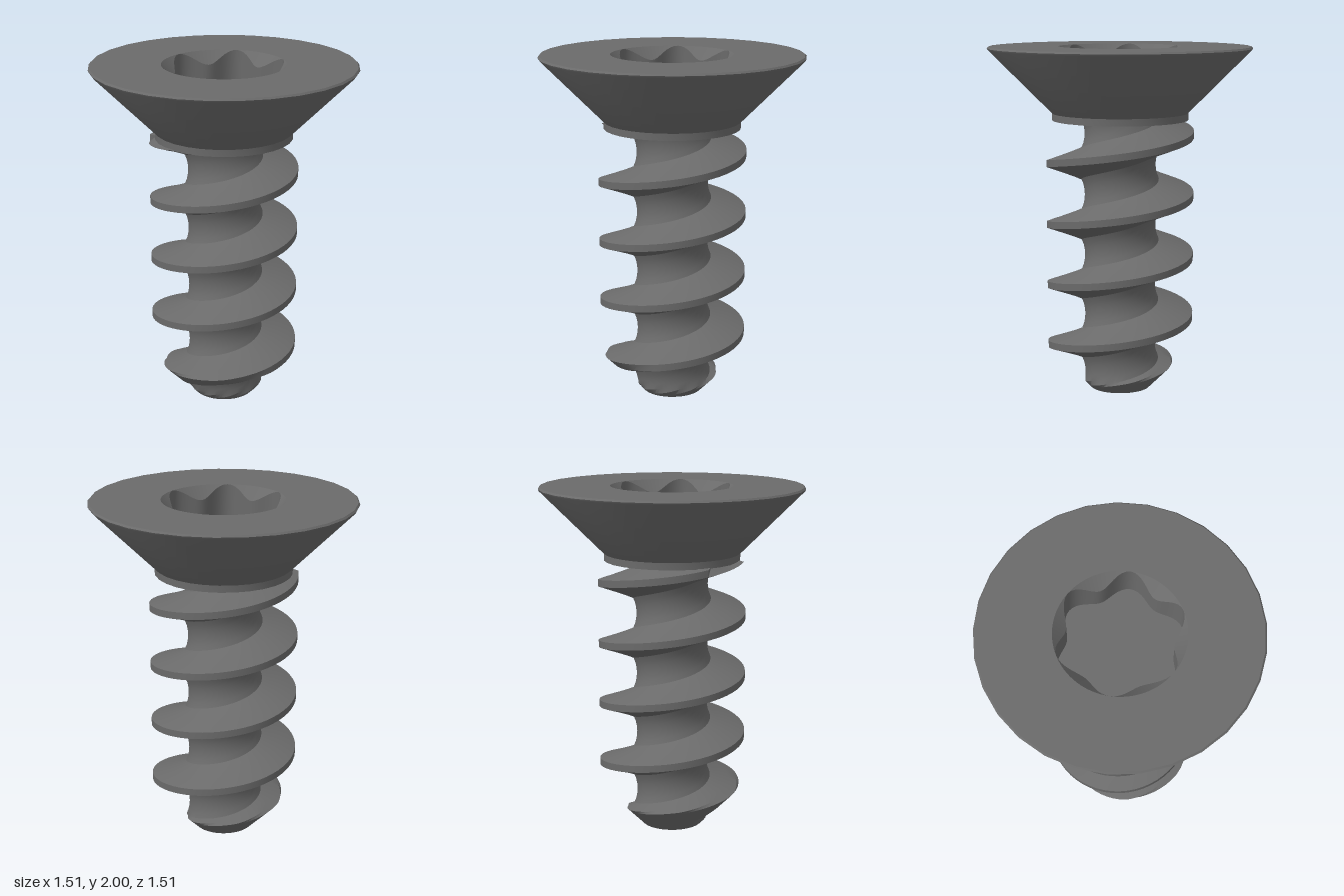
import * as THREE from 'three';
import { mergeVertices, toCreasedNormals } from 'three/addons/utils/BufferGeometryUtils.js';

const TAU = Math.PI * 2;
const CREASE = 0.5;

// Surface from cross-sections: point(u, v) for u, v in 0..1, front side on the left of u
function surface(point, nu, nv) {
  const pos = [];
  const p = (i, j) => point(i / nu, j / nv);
  const tri = (a, b, c) => {
    const area = b.clone().sub(a).cross(c.clone().sub(a)).length();
    if (area > 1e-8) for (const q of [a, b, c]) pos.push(q.x, q.y, q.z);
  };
  for (let i = 0; i < nu; i++) {
    for (let j = 0; j < nv; j++) {
      const a = p(i, j), b = p(i + 1, j), c = p(i + 1, j + 1), d = p(i, j + 1);
      tri(a, b, c);
      tri(a, c, d);
    }
  }
  const g = new THREE.BufferGeometry();
  g.setAttribute('position', new THREE.Float32BufferAttribute(pos, 3));
  return toCreasedNormals(g, CREASE);
}

const polar = (r, y, a) => new THREE.Vector3(r * Math.cos(a), y, -r * Math.sin(a));

// Strip between two closed rings, each given as angle -> [radius, height]
function ring(from, to, n = 96) {
  return surface((u, v) => {
    const a = u * TAU, [r0, y0] = from(a), [r1, y1] = to(a);
    return polar(r0 + (r1 - r0) * v, y0 + (y1 - y0) * v, a);
  }, n, 1);
}

// One pitch of the thread: [offset from crest, radius]
const PITCH = 0.355;
const HALF = [[0.02, 0.425], [0.034, 0.385], [0.048, 0.343], [0.062, 0.302], [0.076, 0.261],
  [0.09, 0.224], [0.118, 0.213], [0.148, 0.207], [PITCH / 2, 0.205]];
const PROFILE = [...HALF.map(([h, r]) => [-h, r]).reverse(), ...HALF];

export function createModel() {
  const model = new THREE.Group();
  model.name = 'countersunkScrew';
  const steel = new THREE.MeshStandardMaterial({ color: 0x6a6a6a });
  steel.name = 'dark steel';
  const add = (name, geometry) => {
    const m = new THREE.Mesh(geometry, steel);
    m.name = name;
    model.add(m);
  };

  // Conical head with collar
  const SIDES = 29;
  const outline = [[0.2, 1.58], [0.392, 1.58], [0.392, 1.62], [0.752, 1.98], [0.757, 1.99], [0.748, 2]]
    .map(([x, y]) => new THREE.Vector2(x, y));
  const head = new THREE.LatheGeometry(outline, SIDES, Math.PI);
  head.deleteAttribute('normal');
  head.deleteAttribute('uv');
  add('head', toCreasedNormals(mergeVertices(head), CREASE));

  // Flat top face around the socket
  const circle = (r, n) => Array.from({ length: n }, (_, i) => {
    const a = Math.PI / 2 + (i / n) * TAU;
    return new THREE.Vector2(r * Math.cos(a), r * Math.sin(a));
  });
  const face = new THREE.Shape(circle(0.748, SIDES));
  face.holes.push(new THREE.Path(circle(0.35, 96)));
  add('headTop', new THREE.ShapeGeometry(face).rotateX(-Math.PI / 2).translate(0, 2, 0));

  // Six-lobed socket: chamfer, wall and floor
  const FLOOR = 1.78;
  const lobe = (a) => 0.285 + 0.0325 * (1 - Math.cos(6 * a));
  const lip = (a) => [lobe(a), 2 - (0.35 - lobe(a)) * 1.1];
  const base = (a) => [lobe(a), FLOOR];
  add('socketChamfer', ring(() => [0.35, 2], lip));
  add('socketWall', ring(lip, base));
  add('socketFloor', ring(base, () => [0, FLOOR]));

  // Shank and helical thread in one sweep, trimmed by the tip cone and the collar
  const T0 = -1.5, T1 = 4.25, STEPS = 56;
  const TIP = 0.175, TOP = 1.585;
  add('threadedShank', surface((u, v) => {
    const turn = T0 + (T1 - T0) * u;
    const [h, r] = PROFILE[Math.round(v * (PROFILE.length - 1))];
    const y = 0.31 + PITCH * turn + h;
    if (y > TOP) return polar(Math.min(r, 0.38), TOP, turn * TAU);
    const yc = Math.max(y, 0);
    return polar(Math.min(r, TIP + yc), yc, turn * TAU);
  }, Math.round((T1 - T0) * STEPS), PROFILE.length - 1));

  // Flat end of the tip
  add('tipEnd', ring(() => [0, 0], () => [TIP, 0], 56));

  return model;
}
